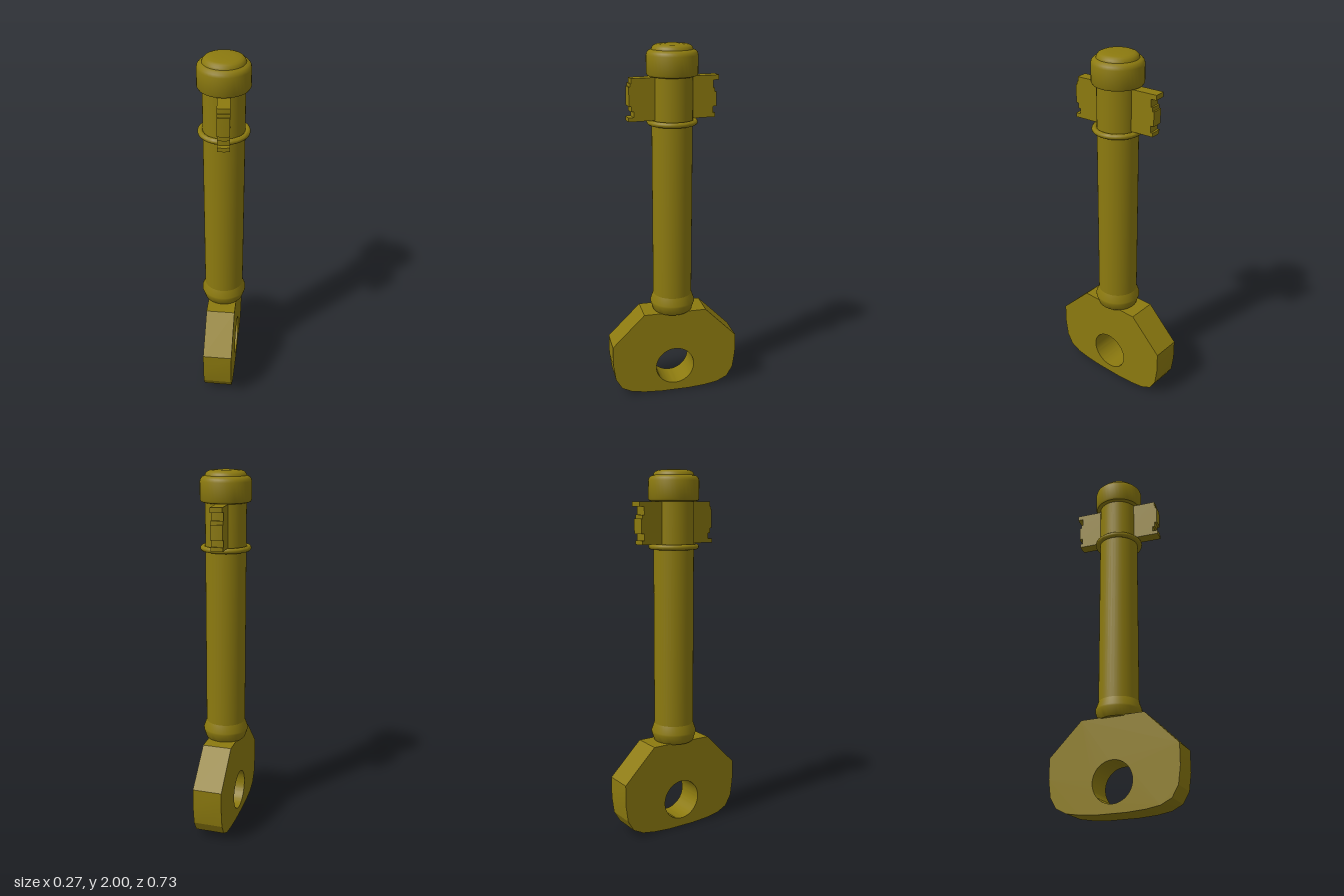
import * as THREE from 'three';
import { toCreasedNormals } from 'three/addons/utils/BufferGeometryUtils.js';

const material = new THREE.MeshStandardMaterial({ color: 0x8c7a0f });
const points = (list) => list.map(([a, b]) => new THREE.Vector2(a, b));

function addMesh(parent, name, geometry, crease = 0.6) {
  const mesh = new THREE.Mesh(toCreasedNormals(geometry, crease), material);
  mesh.name = name;
  parent.add(mesh);
  return mesh;
}

// Extrudes a (z, y) outline along x, centred on x = 0
function plate(shape, width, steps = 1) {
  const geometry = new THREE.ExtrudeGeometry(shape, { depth: width, steps, bevelEnabled: false, curveSegments: 40 });
  return geometry.translate(0, 0, -width / 2).rotateY(-Math.PI / 2);
}

// Bit plate with a stepped outer edge; steps are [bottom, top, radius], from low to high
function bit(steps) {
  const outline = [[0, steps[0][0]]];
  for (const [bottom, top, r] of steps) outline.push([r, bottom], [r, top]);
  outline.push([0, steps[steps.length - 1][1]]);
  const geometry = plate(new THREE.Shape(points(outline)), 0.064, 4);
  // Bend the outer edge around the shaft axis
  const p = geometry.attributes.position;
  for (let i = 0; i < p.count; i++) {
    const x = p.getX(i), z = p.getZ(i);
    if (z > 0.15) p.setZ(i, Math.sqrt(z * z - x * x));
  }
  return geometry;
}

export function createModel() {
  const key = new THREE.Group();
  key.name = 'key';

  // Bow: chamfered shoulders, rounded lower corners and a round hole
  const half = [[0.18, 0.505], [0.365, 0.32], [0.365, 0.205], [0.352, 0.11], [0.317, 0.05], [0.257, 0.02], [0.18, 0.007], [0.08, 0]];
  const bowShape = new THREE.Shape(points([...half.map(([z, y]) => [-z, y]), ...half.slice().reverse()]));
  bowShape.holes.push(new THREE.Path().absarc(0, 0.16, 0.112, 0, Math.PI * 2, true));
  addMesh(key, 'bow', plate(bowShape, 0.162), 0.3).position.x = -0.002;

  // Shaft
  const shaft = new THREE.CylinderGeometry(0.11, 0.11, 1.35, 40);
  addMesh(key, 'shaft', shaft.translate(0, 1.185, 0));

  // Flared collar where the shaft meets the bow
  const collar = [[0, 0.5], [0.106, 0.5], [0.112, 0.506], [0.126, 0.55], [0.126, 0.56], [0.11, 0.605]];
  addMesh(key, 'collar', new THREE.LatheGeometry(points(collar), 40));

  // Thin ring below the bits
  const ring = new THREE.TorusGeometry(0.122, 0.015, 12, 40).rotateX(Math.PI / 2);
  addMesh(key, 'ring', ring.translate(0, 1.594, 0));

  // Rounded end cap with a low dome
  const cap = [[0.1, 1.833], [0.12, 1.834], [0.131, 1.838], [0.137, 1.848], [0.137, 1.942], [0.133, 1.956],
    [0.124, 1.966], [0.11, 1.971], [0.107, 1.981], [0.098, 1.991], [0.083, 1.997], [0.05, 2], [0, 2]];
  addMesh(key, 'endCap', new THREE.LatheGeometry(points(cap), 40));

  // Two bits with different cuts, slightly turned around the shaft
  const bits = new THREE.Group();
  bits.name = 'bits';
  bits.rotation.y = 0.092;
  key.add(bits);
  addMesh(bits, 'frontBit', bit([[1.61, 1.632, 0.25], [1.632, 1.662, 0.222], [1.662, 1.69, 0.235],
    [1.69, 1.79, 0.247], [1.79, 1.807, 0.24], [1.807, 1.833, 0.233]]));
  addMesh(bits, 'backBit', bit([[1.61, 1.632, 0.235], [1.632, 1.667, 0.223], [1.667, 1.745, 0.241],
    [1.745, 1.765, 0.232], [1.765, 1.807, 0.222], [1.807, 1.833, 0.253]])).rotation.y = Math.PI;

  return key;
}
